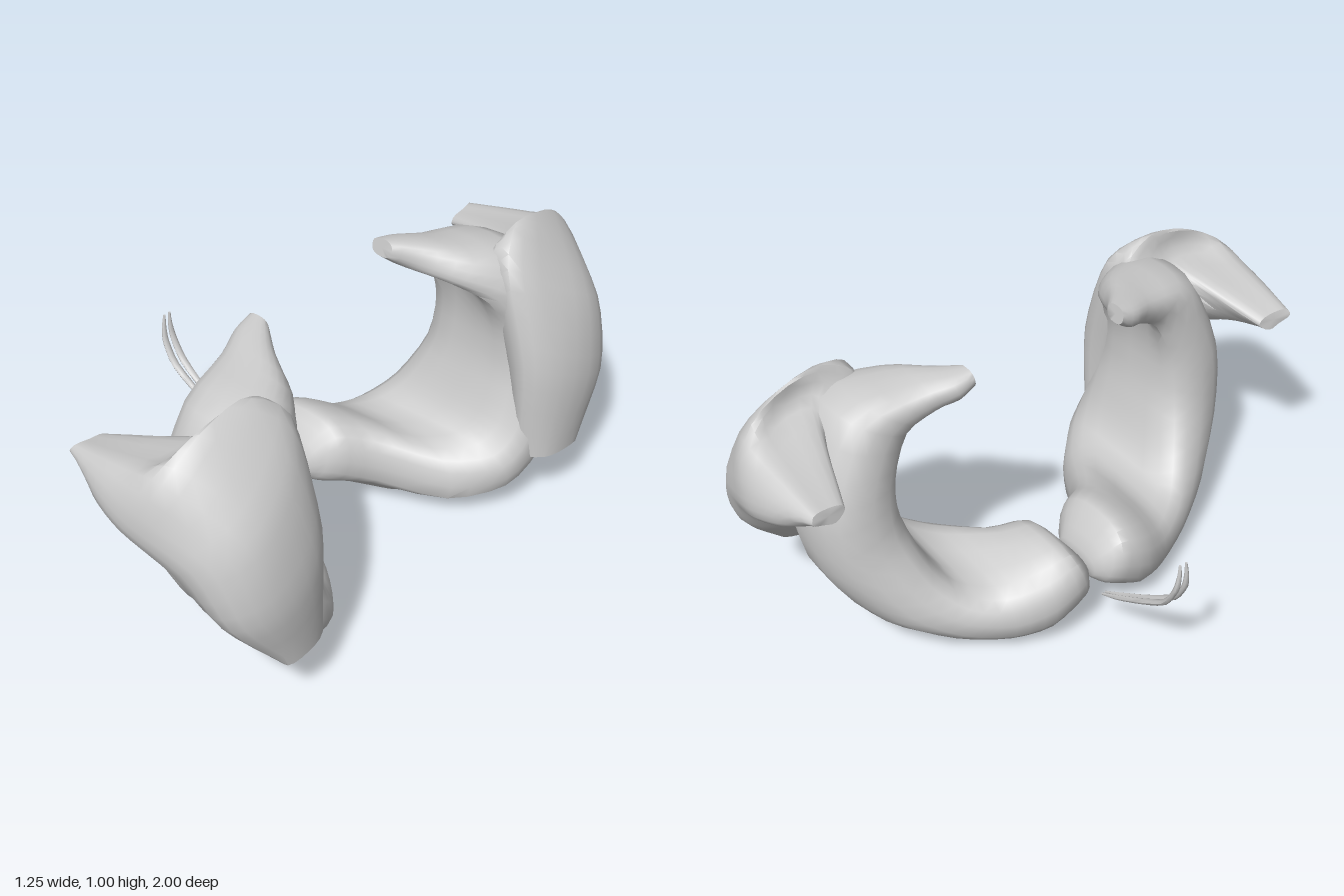
import * as THREE from 'three';
import { toCreasedNormals } from 'three/addons/utils/BufferGeometryUtils.js';

const V = (x, y, z) => new THREE.Vector3(x, y, z);
const material = new THREE.MeshStandardMaterial({ color: 0xcccccc });

// Smooth closed skin through a list of loops, capped at both ends
function loft(loops, along, around) {
  const n = loops[0].length * around, m = (loops.length - 1) * along;
  const rings = loops.map((l) => {
    const c = new THREE.CatmullRomCurve3(l, true, 'centripetal');
    return Array.from({ length: n }, (_, i) => c.getPoint(i / n));
  });
  const lines = Array.from({ length: n }, (_, i) =>
    new THREE.CatmullRomCurve3(rings.map((r) => r[i]), false, 'catmullrom', 0.4));
  const pos = [], idx = [];
  for (let j = 0; j <= m; j++) for (const l of lines) pos.push(...l.getPoint(j / m).toArray());
  for (let j = 0; j < m; j++) for (let i = 0; i < n; i++) {
    const a = j * n + i, b = j * n + (i + 1) % n;
    idx.push(a, b, a + n, b, b + n, a + n);
  }
  for (const j of [0, m]) {
    const mid = V(0, 0, 0);
    for (let i = 0; i < n; i++) mid.add(V(...pos.slice((j * n + i) * 3, (j * n + i) * 3 + 3)));
    const c = pos.length / 3;
    pos.push(...mid.divideScalar(n).toArray());
    for (let i = 0; i < n; i++) {
      const a = j * n + i, b = j * n + (i + 1) % n;
      idx.push(...(j ? [a, b, c] : [b, a, c]));
    }
  }
  // Turn the faces outward by the sign of the enclosed volume
  const p = (i) => V(pos[i * 3], pos[i * 3 + 1], pos[i * 3 + 2]);
  let vol = 0;
  for (let k = 0; k < idx.length; k += 3) vol += p(idx[k]).dot(p(idx[k + 1]).cross(p(idx[k + 2])));
  if (vol < 0) idx.reverse();
  const g = new THREE.BufferGeometry();
  g.setAttribute('position', new THREE.Float32BufferAttribute(pos, 3));
  g.setIndex(idx);
  return toCreasedNormals(g, 0.8);
}

// Rounded-box section between x0..x1 and an inner and outer point (y, z),
// with an outer groove on the +x side and a hollow on the inner side
function section([x0, x1, yi, zi, yo, zo, groove, hollow]) {
  const soft = (v) => Math.sign(v) * Math.abs(v) ** 0.8;
  return Array.from({ length: 20 }, (_, i) => {
    const a = (i / 20) * Math.PI * 2;
    const u = (1 + soft(Math.cos(a))) / 2;
    const v = (1 + soft(Math.sin(a))) / 2 - groove * Math.exp(-(((a - 0.95) / 0.4) ** 2))
      + hollow * Math.exp(-(((a - 4.5) / 0.55) ** 2));
    return V(x0 + (x1 - x0) * u, yi + (yo - yi) * v, zi + (zo - zi) * v);
  });
}

// Curved body, from the middle round to the inward horn:
// x0, x1, inner y z, outer y z, groove, hollow
const bodyStations = [
  [-0.17, 0.02, 0.24, 0.012, 0.15, 0.012, 0, 0],
  [-0.235, 0.1, 0.345, 0.1, 0.115, 0.045, 0, 0],
  [-0.235, 0.19, 0.32, 0.2, 0.035, 0.18, 0.12, 0],
  [-0.18, 0.4, 0.27, 0.32, 0.0, 0.3, 0.2, 0.05],
  [-0.11, 0.53, 0.29, 0.41, 0.04, 0.48, 0.28, 0.08],
  [-0.03, 0.56, 0.37, 0.46, 0.14, 0.66, 0.3, 0.05],
  [0.05, 0.54, 0.52, 0.5, 0.35, 0.79, 0.2, 0.05],
  [0.08, 0.51, 0.67, 0.49, 0.62, 0.81, 0, 0.12],
  [0.1, 0.45, 0.78, 0.44, 0.91, 0.68, 0, 0.25],
  [0.08, 0.34, 0.85, 0.38, 0.96, 0.47, 0, 0.2],
  [0.05, 0.21, 0.89, 0.33, 0.98, 0.36, 0, 0],
  [0.05, 0.13, 0.93, 0.28, 0.99, 0.29, 0, 0],
];

// Outer shell, from the front tip back and down to the lower tip;
// each loop runs front edge, outside, back edge, inside
const shellLoops = [
  [[-0.04, 0.755, 0.89], [-0.05, 0.78, 0.93], [-0.04, 0.8, 0.92], [-0.03, 0.8, 0.87],
    [-0.03, 0.79, 0.82], [-0.03, 0.77, 0.81], [-0.04, 0.745, 0.85]],
  [[0.08, 0.705, 0.96], [0.12, 0.76, 0.985], [0.2, 0.85, 0.94], [0.3, 0.885, 0.84],
    [0.31, 0.895, 0.71], [0.26, 0.86, 0.7], [0.1, 0.72, 0.82]],
  [[0.2, 0.66, 0.98], [0.26, 0.72, 1], [0.34, 0.87, 0.94], [0.35, 0.97, 0.8],
    [0.35, 1, 0.64], [0.33, 0.92, 0.53], [0.22, 0.68, 0.78]],
  [[0.35, 0.57, 0.94], [0.46, 0.63, 0.955], [0.55, 0.71, 0.84], [0.52, 0.81, 0.66],
    [0.42, 0.91, 0.51], [0.35, 0.8, 0.53], [0.34, 0.6, 0.76]],
  [[0.43, 0.41, 0.86], [0.55, 0.43, 0.9], [0.62, 0.46, 0.79], [0.6, 0.54, 0.6],
    [0.52, 0.58, 0.5], [0.43, 0.52, 0.54], [0.41, 0.42, 0.7]],
  [[0.57, 0.22, 0.73], [0.605, 0.215, 0.73], [0.615, 0.22, 0.65], [0.59, 0.22, 0.56],
    [0.52, 0.23, 0.51], [0.49, 0.25, 0.54], [0.53, 0.23, 0.65]],
];

// Thin strand: x, y, z, half width in z, half thickness, slope of its normal
const strandStations = [
  [-0.235, 0.155, 0.007, 0.004, 0.004, 1],
  [-0.32, 0.2, 0.01, 0.007, 0.009, 1],
  [-0.45, 0.28, 0.014, 0.01, 0.01, 0.95],
  [-0.56, 0.36, 0.019, 0.014, 0.01, 0.8],
  [-0.606, 0.44, 0.018, 0.012, 0.009, 0.3],
  [-0.615, 0.5, 0.014, 0.007, 0.007, 0],
  [-0.613, 0.54, 0.012, 0.004, 0.004, 0],
];
const strandLoop = ([x, y, z, w, t, s]) => Array.from({ length: 8 }, (_, i) => {
  const a = (i / 8) * Math.PI * 2;
  return V(x + Math.cos(a) * t * Math.cos(s), y + Math.cos(a) * t * Math.sin(s), z + Math.sin(a) * w);
});

export function createModel() {
  const model = new THREE.Group();
  model.name = 'pairedCurvedBodies';
  const parts = {
    body: loft(bodyStations.map(section), 3, 1),
    shell: loft(shellLoops.map((l) => l.map((p) => V(...p))), 4, 3),
    strand: loft(strandStations.map(strandLoop), 3, 1),
  };
  // The two halves mirror each other across z = 0
  for (const side of [1, -1]) {
    const half = new THREE.Group();
    half.name = side > 0 ? 'frontHalf' : 'backHalf';
    for (const [name, geometry] of Object.entries(parts)) {
      const mesh = new THREE.Mesh(geometry, material);
      mesh.name = name;
      half.add(mesh);
    }
    half.scale.z = side;
    model.add(half);
  }
  return model;
}
